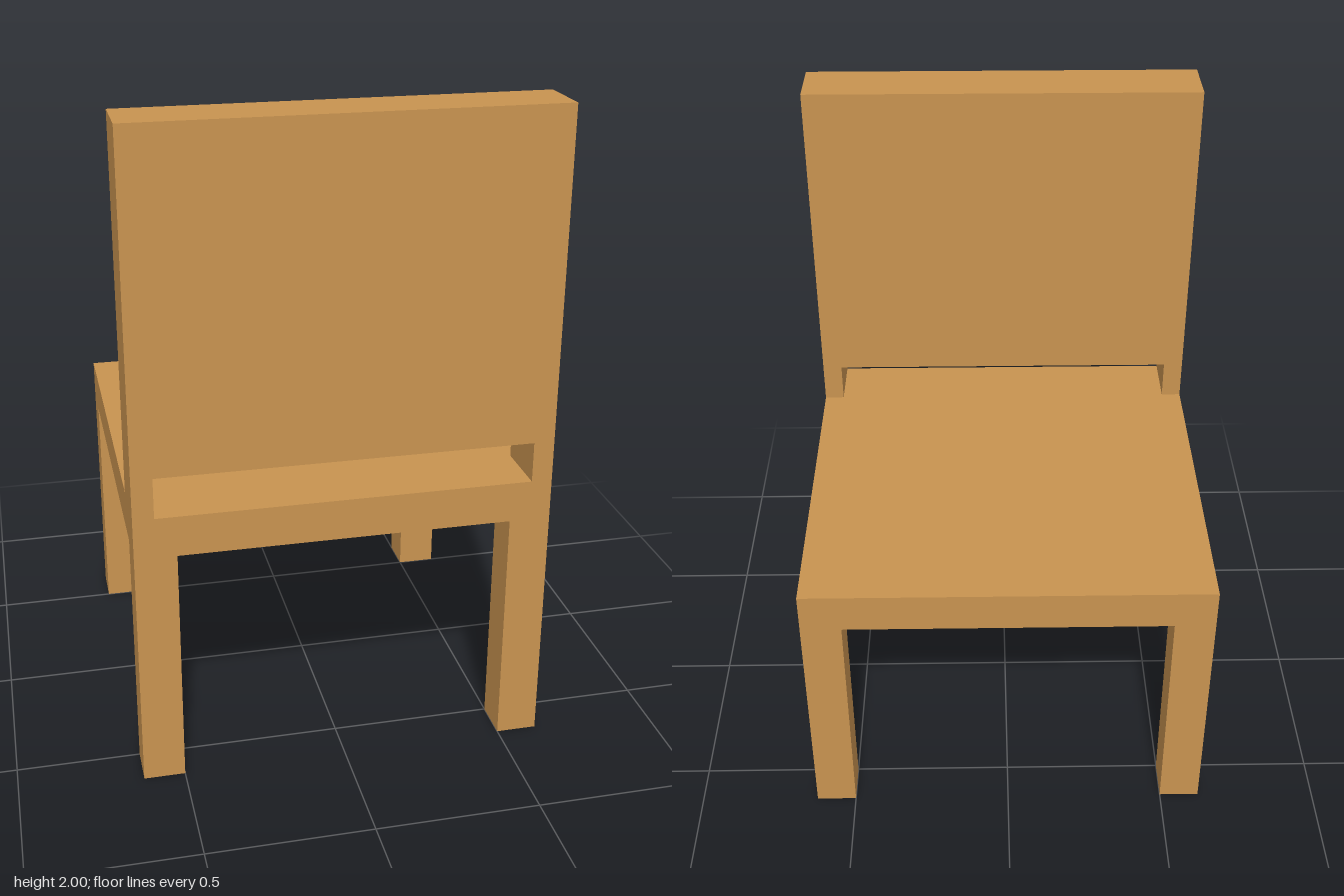
import * as THREE from 'three';

export function createModel() {
  const model = new THREE.Group();
  model.name = 'chair';
  const wood = new THREE.MeshStandardMaterial({ color: 0xc89350 });
  wood.name = 'wood';

  const HALF = 0.625;      // half of the seat width and depth
  const LEG = 0.125;       // leg thickness
  const SEAT_BOTTOM = 0.75;
  const SEAT_TOP = 0.875;
  const BACK_DEPTH = 0.1875;

  function add(name, geometry, x, y, z) {
    const mesh = new THREE.Mesh(geometry, wood);
    mesh.name = name;
    mesh.position.set(x, y, z);
    model.add(mesh);
  }

  // Seat slab
  add('seat', new THREE.BoxGeometry(2 * HALF, SEAT_TOP - SEAT_BOTTOM, 2 * HALF),
    0, (SEAT_TOP + SEAT_BOTTOM) / 2, 0);

  // Four square legs, flush with the seat corners
  const legGeometry = new THREE.BoxGeometry(LEG, SEAT_BOTTOM, LEG);
  const legOffset = HALF - LEG / 2;
  for (const [xName, sx] of [['Left', 1], ['Right', -1]]) {
    for (const [zName, sz] of [['front', 1], ['back', -1]]) {
      add(`${zName}${xName}Leg`, legGeometry, sx * legOffset, SEAT_BOTTOM / 2, sz * legOffset);
    }
  }

  // Upright panel standing on two short posts, leaving a slot above the seat
  const slotHalf = 0.5625, slotTop = 1;
  const outline = new THREE.Shape([
    [-HALF, SEAT_TOP], [-slotHalf, SEAT_TOP], [-slotHalf, slotTop], [slotHalf, slotTop],
    [slotHalf, SEAT_TOP], [HALF, SEAT_TOP], [HALF, 2], [-HALF, 2],
  ].map(([x, y]) => new THREE.Vector2(x, y)));
  add('backrest', new THREE.ExtrudeGeometry(outline, { depth: BACK_DEPTH, bevelEnabled: false }),
    0, 0, HALF - BACK_DEPTH);

  return model;
}
